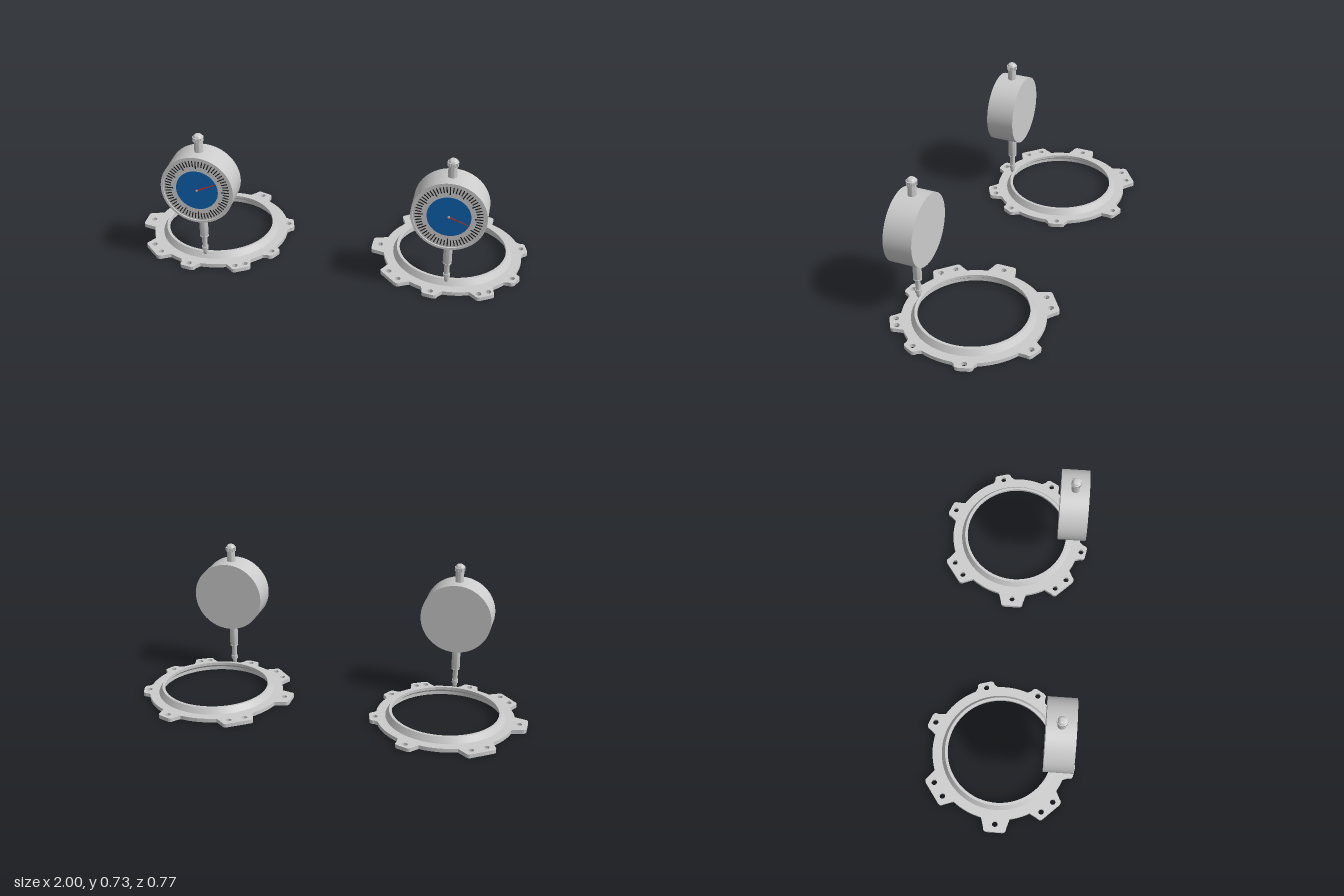
import * as THREE from 'three';
import { toCreasedNormals } from 'three/addons/utils/BufferGeometryUtils.js';

const material = (color) => new THREE.MeshStandardMaterial({ color });
const grey = material(0xcccccc);
const blue = material(0x0f62b0);
const black = material(0x222222);
const red = material(0xd03020);

function add(parent, name, geometry, mat = grey) {
  const mesh = new THREE.Mesh(geometry, mat);
  mesh.name = name;
  parent.add(mesh);
  return mesh;
}

function turned(points, segments = 32) {
  const profile = points.map(([r, y]) => new THREE.Vector2(r, y));
  return toCreasedNormals(new THREE.LatheGeometry(profile, segments), 0.6);
}

// Lugs around the flange: angle from +x towards +z, outer radius, half width, hole angle offsets
const LUGS = [
  [-125.5, 0.405, 0.08, [-6.4, 6.4]],
  [-68.7, 0.4, 0.045, [0]],
  [-16, 0.38, 0.045, [0]],
  [29, 0.385, 0.04, [0]],
  [60, 0.4, 0.05, [-4, 4]],
  [101, 0.39, 0.04, [0]],
  [136, 0.4, 0.075, [-6, 6]],
  [180, 0.41, 0.058, [0]],
];

// Flat flange with rounded lugs and bolt holes
function flangeGeometry() {
  const base = 0.347, corner = 0.022, flare = 0.014;
  const shape = new THREE.Shape();
  LUGS.forEach(([degrees, outer, half, holes], i) => {
    const a = THREE.MathUtils.degToRad(degrees);
    const at = (r, t) => [
      r * Math.cos(a) - t * Math.sin(a),
      r * Math.sin(a) + t * Math.cos(a),
    ];
    const spread = Math.asin((half + flare) / base);
    if (i === 0) shape.moveTo(base * Math.cos(a - spread), base * Math.sin(a - spread));
    shape.lineTo(...at(outer - corner, -half));
    shape.quadraticCurveTo(...at(outer, -half), ...at(outer, -half + corner));
    shape.lineTo(...at(outer, half - corner));
    shape.quadraticCurveTo(...at(outer, half), ...at(outer - corner, half));
    const next = i + 1 < LUGS.length ? LUGS[i + 1] : [LUGS[0][0] + 360, ...LUGS[0].slice(1)];
    const nextStart = THREE.MathUtils.degToRad(next[0]) - Math.asin((next[2] + flare) / base);
    // Arc of the plain rim up to the next lug
    const start = a + spread;
    for (let k = 0; k <= 8; k++) {
      const t = start + (Math.max(nextStart, start) - start) * k / 8;
      shape.lineTo(base * Math.cos(t), base * Math.sin(t));
    }
    for (const offset of holes) {
      const h = a + THREE.MathUtils.degToRad(offset);
      const r = Math.min(0.37, outer - 0.028);
      shape.holes.push(new THREE.Path().absarc(r * Math.cos(h), r * Math.sin(h), 0.014, 0, Math.PI * 2, true));
    }
  });
  shape.holes.push(new THREE.Path().absarc(0, 0, 0.288, 0, Math.PI * 2, true));
  const geometry = new THREE.ExtrudeGeometry(shape, { depth: 0.02, bevelEnabled: false, curveSegments: 32 });
  geometry.rotateX(Math.PI / 2).translate(0, 0.02, 0);
  return toCreasedNormals(geometry, 0.6);
}

function createRing() {
  const ring = new THREE.Group();
  ring.name = 'mountingRing';
  add(ring, 'flange', flangeGeometry());
  // Tapered collar rising from the flange
  add(ring, 'collar', turned([
    [0.288, 0], [0.3, 0.019], [0.282, 0.05], [0.268, 0.05], [0.268, 0.035], [0.288, 0.018], [0.288, 0],
  ], 72));
  ring.position.z = -0.007;
  return ring;
}

function createGauge(needleAngle) {
  const gauge = new THREE.Group();
  gauge.name = 'dialGauge';

  // Spindle below the case, ending in a rounded contact tip
  add(gauge, 'spindle', turned([
    [0, 0.04], [0.006, 0.042], [0.01, 0.048], [0.0115, 0.072],
    [0.0165, 0.072], [0.0165, 0.09], [0.0133, 0.09], [0.0133, 0.15],
    [0.0215, 0.15], [0.0215, 0.154], [0.02, 0.155], [0.0215, 0.158], [0.0215, 0.3],
  ]));
  // Top post and domed cap
  add(gauge, 'topPost', turned([
    [0.0215, 0.6], [0.0215, 0.69], [0.0255, 0.69], [0.0255, 0.71],
    [0.0225, 0.711], [0.02, 0.718], [0.014, 0.723], [0.007, 0.7255], [0, 0.726],
  ]));
  // Knurled grip
  for (let i = 0; i < 24; i++) {
    const a = i / 24 * Math.PI * 2;
    const ridge = add(gauge, 'gripRidge', new THREE.BoxGeometry(0.003, 0.02, 0.003));
    ridge.position.set(Math.sin(a) * 0.0252, 0.7, Math.cos(a) * 0.0252);
    ridge.rotation.y = a;
  }

  // Dial head: local z runs forward from the case centre
  const head = new THREE.Group();
  head.name = 'dialHead';
  head.position.set(0, 0.4535, 0);
  gauge.add(head);
  const front = 0.072, face = 0.067;
  add(head, 'case', turned([
    [0, -front], [0.18, -front], [0.18, front], [0.169, front], [0.168, face], [0, face],
  ], 72).rotateX(Math.PI / 2));
  add(head, 'dialCentre', new THREE.CylinderGeometry(0.104, 0.104, 0.002, 48).rotateX(Math.PI / 2), blue)
    .position.z = face + 0.001;

  // Scale marks
  for (let i = 0; i < 60; i++) {
    const a = i / 60 * Math.PI * 2;
    const length = i % 5 ? 0.03 : 0.04;
    const r = 0.16 - length / 2;
    const mark = add(head, 'scaleMark', new THREE.BoxGeometry(0.005, length, 0.002), black);
    mark.position.set(-Math.sin(a) * r, Math.cos(a) * r, face + 0.001);
    mark.rotation.z = a;
  }

  // Tapered needle on a small hub
  const pointer = new THREE.Shape([[-0.005, -0.004], [0.1, -0.002], [0.1, 0.002], [-0.005, 0.004]]
    .map(([x, y]) => new THREE.Vector2(x, y)));
  const needle = add(head, 'needle',
    new THREE.ExtrudeGeometry(pointer, { depth: 0.0015, bevelEnabled: false }), red);
  needle.position.z = face + 0.0025;
  needle.rotation.z = needleAngle;
  add(head, 'needleHub', new THREE.CylinderGeometry(0.006, 0.006, 0.004, 20).rotateX(Math.PI / 2))
    .position.z = face + 0.003;

  gauge.position.z = 0.283;
  return gauge;
}

export function createModel() {
  const model = new THREE.Group();
  model.name = 'gaugePair';
  [[-0.59, 0.42, 'rightStation'], [0.623, -0.38, 'leftStation']].forEach(([x, angle, name]) => {
    const station = new THREE.Group();
    station.name = name;
    station.add(createRing(), createGauge(angle));
    station.position.x = x;
    model.add(station);
  });
  return model;
}
